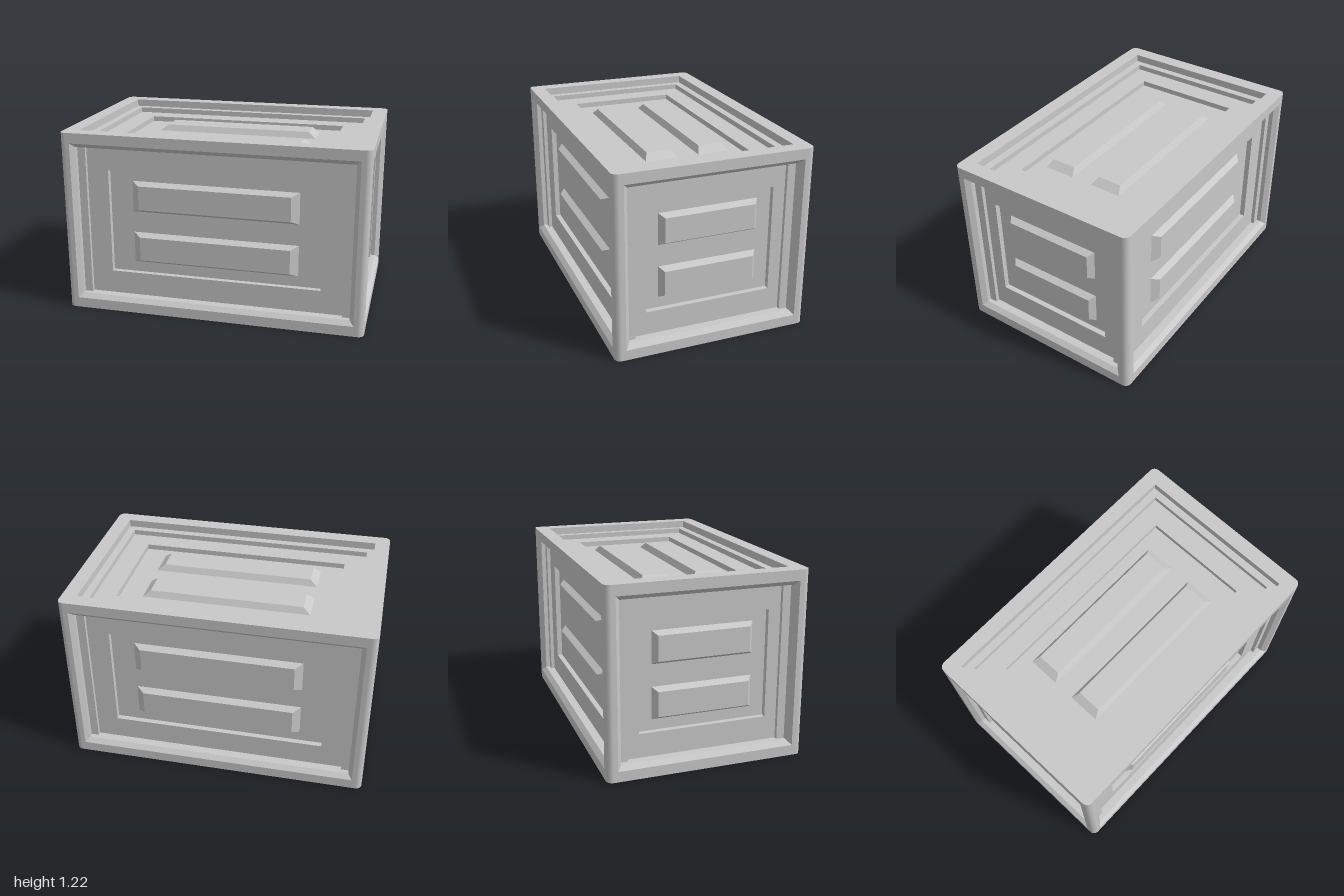
import * as THREE from 'three';

const W = 1, H = 0.6075, D = 0.645, R = 0.04; // half sizes and corner radius
const metal = new THREE.MeshStandardMaterial({ color: 0xc8c8c8 });
metal.name = 'grey metal';

// Nested rectangles [halfWidth, halfHeight, depth] joined into flat faces, last one capped
function stepped(rings) {
  const pos = [];
  const corners = ([w, h, d]) => [[-w, -h, -d], [w, -h, -d], [w, h, -d], [-w, h, -d]];
  const quad = (a, b, c, d) => pos.push(...a, ...b, ...c, ...a, ...c, ...d);
  for (let r = 0; r + 1 < rings.length; r++) {
    const a = corners(rings[r]), b = corners(rings[r + 1]);
    for (let i = 0; i < 4; i++) {
      const j = (i + 1) % 4;
      quad(a[i], a[j], b[j], b[i]);
    }
  }
  quad(...corners(rings.at(-1)));
  const g = new THREE.BufferGeometry();
  g.setAttribute('position', new THREE.Float32BufferAttribute(pos, 3));
  g.computeVertexNormals();
  return g;
}

function part(name, geometry) {
  const m = new THREE.Mesh(geometry, metal);
  m.name = name;
  return m;
}

// Two raised bars with sloped edges, sitting in the recess of a panel
function addBars(face, halfLength, slope) {
  for (const s of [-1, 1]) {
    const bar = part('raisedBar', stepped([[halfLength, 0.105, 0.12], [halfLength - slope, 0.081, 0.08]]));
    bar.position.y = s * 0.177;
    face.add(bar);
  }
}

// Upright face: chamfered opening, side ledges, panel and recess
function sideFace(name, half, recess, bar, slope) {
  const g = new THREE.Group();
  g.name = name;
  const o = half - 0.095, y = 0.51;
  g.add(part('sidePanel', stepped([
    [half - R, H, 0], [o + 0.028, y + 0.029, 0], [o, y, 0.03], [o, y, 0.06],
    [o - 0.053, y, 0.06], [o - 0.053, y, 0.085],
    [recess, 0.353, 0.085], [recess, 0.353, 0.12],
  ])));
  addBars(g, bar, slope);
  return g;
}

// Horizontal face: rounded rim with a stepped opening
function endFace(name, inner) {
  const g = new THREE.Group();
  g.name = name;
  const rim = new THREE.Shape();
  rim.absarc(W - R, D - R, R, 0, Math.PI / 2);
  rim.absarc(R - W, D - R, R, Math.PI / 2, Math.PI);
  rim.absarc(R - W, R - D, R, Math.PI, Math.PI * 1.5);
  rim.absarc(W - R, R - D, R, Math.PI * 1.5, Math.PI * 2);
  const w = 0.9, h = 0.547;
  rim.holes.push(new THREE.Path([[-w, -h], [-w, h], [w, h], [w, -h]].map(p => new THREE.Vector2(...p))));
  g.add(part('rim', new THREE.ShapeGeometry(rim, 5)));
  g.add(part('endPanel', stepped([
    [w, h, 0], [w, h, 0.05], [0.85, 0.495, 0.05], [0.85, 0.495, 0.085], ...inner,
  ])));
  return g;
}

export function createModel() {
  const crate = new THREE.Group();
  crate.name = 'crate';

  // Four upright faces
  for (const s of [1, -1]) {
    const long = sideFace(s > 0 ? 'frontFace' : 'backFace', W, 0.708, 0.555, 0.05);
    long.position.set(0, H, s * D);
    long.rotation.y = s > 0 ? 0 : Math.PI;
    const short = sideFace(s > 0 ? 'leftFace' : 'rightFace', D, 0.418, 0.327, 0.03);
    short.position.set(s * W, H, 0);
    short.rotation.y = s * Math.PI / 2;
    crate.add(long, short);
  }

  // Lid with recess and bars, plain stepped underside
  const lid = endFace('lid', [[0.708, 0.36, 0.085], [0.708, 0.36, 0.12]]);
  addBars(lid, 0.555, 0.05);
  lid.position.y = 2 * H;
  lid.rotation.x = -Math.PI / 2;
  const base = endFace('base', []);
  base.rotation.x = Math.PI / 2;
  crate.add(lid, base);

  // Rounded corner edges
  for (let i = 0; i < 4; i++) {
    const edge = part('cornerEdge', new THREE.CylinderGeometry(R, R, 2 * H, 5, 1, true, i * Math.PI / 2, Math.PI / 2));
    edge.position.set((i < 2 ? 1 : -1) * (W - R), H, (i === 0 || i === 3 ? 1 : -1) * (D - R));
    crate.add(edge);
  }
  return crate;
}
